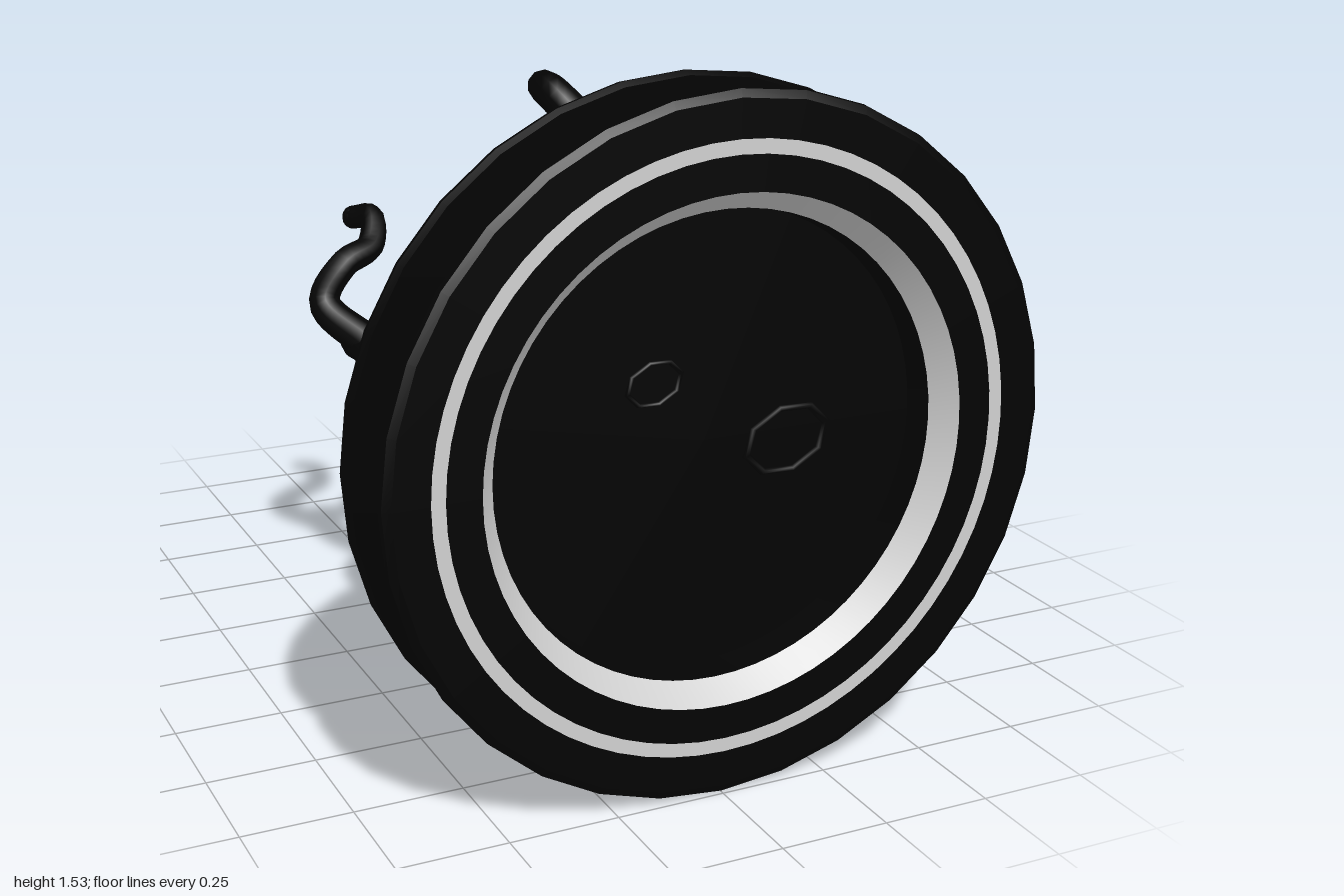
import * as THREE from 'three';
import { toCreasedNormals } from 'three/addons/utils/BufferGeometryUtils.js';

const CY = 0.765;   // wheel axis height
const MID = 0.873;  // wheel centre plane in z

export function createModel() {
  const group = new THREE.Group();
  const black = new THREE.MeshStandardMaterial({ color: 0x030303 });
  black.name = 'black';
  const white = new THREE.MeshStandardMaterial({ color: 0xd0d0d0 });
  white.name = 'pale grey';

  const add = (name, geometry, material) => {
    const mesh = new THREE.Mesh(geometry, material);
    mesh.name = name;
    group.add(mesh);
    return mesh;
  };

  // Surface turned around the wheel axis; profile is [radius, offset from mid plane]
  const turned = (name, profile, material, sides) => {
    const g = new THREE.LatheGeometry(profile.map(([r, z]) => new THREE.Vector2(r, z)), sides);
    g.rotateX(Math.PI / 2);
    add(name, toCreasedNormals(g, 0.5), material).position.set(0, CY, MID);
  };

  // Tread with a small lip at each shoulder
  turned('tread', [[0.745, -0.127], [0.762, -0.118], [0.764, -0.105], [0.755, -0.09],
    [0.755, 0.09], [0.764, 0.105], [0.762, 0.118], [0.745, 0.127]], black, 32);

  // Sidewalls, stripes, rims and sunken discs; the front rim is wider and deeper
  const faces = [['front', 1, 0.512, 0.075, 0.005], ['back', -1, 0.533, 0.1, 0.045]];
  for (const [face, side, rimRadius, rimZ, discZ] of faces) {
    const half = (name, profile, material, sides = 64) => {
      const p = profile.map(([r, z]) => [r, z * side]);
      turned(face + name, side > 0 ? p : p.reverse(), material, sides);
    };
    half('OuterSidewall', [[0.745, 0.127], [0.655, 0.127]], black, 32);
    half('Stripe', [[0.663, 0.128], [0.632, 0.128]], white);
    half('InnerSidewall', [[0.632, 0.128], [0.555, 0.128]], black);
    half('Rim', [[0.555, 0.128], [rimRadius, rimZ]], white);
    half('Disc', [[rimRadius, rimZ], [0.505, discZ], [0, discZ]], black);
  }

  // Tapering root along a smooth path, rounded at both ends
  const root = (name, r0, r1, points) => {
    const curve = new THREE.CatmullRomCurve3(points.map(p => new THREE.Vector3(...p)));
    const steps = points.length * 5, sides = 10;
    const g = new THREE.TubeGeometry(curve, steps, 1, sides);
    const pos = g.attributes.position, v = new THREE.Vector3();
    for (let i = 0; i <= steps; i++) {
      const c = curve.getPointAt(i / steps);
      const r = THREE.MathUtils.lerp(r0, r1, i / steps);
      for (let j = 0; j <= sides; j++) {
        const k = i * (sides + 1) + j;
        v.fromBufferAttribute(pos, k).sub(c).multiplyScalar(r).add(c);
        pos.setXYZ(k, v.x, v.y, v.z);
      }
    }
    add(name, g, black);
    for (const [end, r, p] of [['Start', r0, points[0]], ['Tip', r1, points.at(-1)]]) {
      add(name + end, new THREE.SphereGeometry(r, 10, 8), black).position.set(...p);
    }
  };

  // Main root, long and thick
  root('mainRoot', 0.087, 0.037, [[-0.08, 0.85, 0.78], [-0.06, 0.81, 0.71], [-0.05, 0.78, 0.63],
    [-0.01, 0.88, 0.52], [0.06, 1.01, 0.4], [0.17, 1.065, 0.25], [0.29, 1.01, 0.1],
    [0.36, 0.86, -0.02], [0.335, 0.74, -0.14], [0.29, 0.77, -0.29], [0.27, 0.83, -0.43],
    [0.35, 0.81, -0.57], [0.38, 0.69, -0.67], [0.28, 0.58, -0.73], [0.18, 0.62, -0.76],
    [0.165, 0.66, -0.86], [0.13, 0.65, -0.94], [0.07, 0.61, -0.96], [-0.01, 0.6, -0.93]]);
  root('mainRootTwig', 0.05, 0.03, [[0.3, 0.8, -0.26], [0.24, 0.9, -0.39], [0.31, 0.985, -0.52],
    [0.4, 0.92, -0.6], [0.37, 0.91, -0.72], [0.41, 0.87, -0.765]]);

  // Upper root ending in a hook
  root('upperRoot', 0.06, 0.037, [[0.03, 0.98, 0.45], [0.07, 1.13, 0.39], [0.13, 1.19, 0.27],
    [0.15, 1.18, 0.15], [0.09, 1.28, 0.12], [0.035, 1.36, 0.05], [0.04, 1.365, -0.02],
    [0.09, 1.32, -0.055]]);

  // Left root with two forked twigs
  root('leftRoot', 0.08, 0.047, [[0, 0.76, 0.78], [-0.07, 0.68, 0.66], [-0.14, 0.61, 0.58],
    [-0.25, 0.63, 0.49], [-0.35, 0.73, 0.35], [-0.365, 0.81, 0.22], [-0.26, 0.8, 0.09],
    [-0.29, 0.72, -0.02], [-0.33, 0.69, -0.14], [-0.35, 0.71, -0.26]]);
  root('leftTwigHigh', 0.045, 0.03, [[-0.34, 0.71, -0.22], [-0.42, 0.8, -0.335], [-0.36, 0.89, -0.35],
    [-0.28, 0.92, -0.38], [-0.25, 0.98, -0.45], [-0.28, 0.97, -0.5]]);
  root('leftTwigLow', 0.045, 0.03, [[-0.35, 0.72, -0.26], [-0.33, 0.68, -0.34], [-0.25, 0.63, -0.365],
    [-0.16, 0.61, -0.36], [-0.21, 0.61, -0.43], [-0.17, 0.575, -0.5], [-0.11, 0.525, -0.47]]);

  // Lower root looping out to the side
  root('lowerRoot', 0.08, 0.03, [[0.15, 0.75, 0.79], [0.14, 0.72, 0.71], [0.16, 0.62, 0.62],
    [0.18, 0.52, 0.54], [0.11, 0.43, 0.44], [0.1, 0.43, 0.37], [0.14, 0.46, 0.28], [0.13, 0.41, 0.17],
    [0.08, 0.36, 0.05], [0.015, 0.39, -0.05], [0.08, 0.475, -0.08], [0.08, 0.46, -0.15],
    [0.06, 0.53, -0.2]]);

  // Lobed stump flaring onto the back of the disc
  const stump = new THREE.LatheGeometry([[0.4, -0.075], [0.31, -0.045], [0.24, 0], [0.18, 0.05],
    [0.12, 0.1], [0, 0.12]].map(([r, h]) => new THREE.Vector2(r, h)), 40);
  const p = stump.attributes.position;
  for (let i = 0; i < p.count; i++) {
    const x = p.getX(i), z = p.getZ(i), r = Math.hypot(x, z);
    const lobe = 1 + 0.5 * r * Math.cos(5 * Math.atan2(z, x));
    p.setXYZ(i, x * lobe, p.getY(i), z * lobe * 0.65);
  }
  stump.rotateX(-Math.PI / 2);
  stump.computeVertexNormals();
  add('stump', stump, black).position.set(0.05, 0.79, 0.755);

  // Cut root ends showing on the front of the disc
  for (const [x, y, rx, ry] of [[-0.12, 0.905, 0.064, 0.046], [0.2, 0.74, 0.1, 0.072]]) {
    const knot = add('rootEnd', new THREE.TorusGeometry(1, 0.1, 6, 8), black);
    knot.position.set(x, y, MID + 0.006);
    knot.rotation.z = 0.25;
    knot.scale.set(rx, ry, 0.06);
  }
  return group;
}
